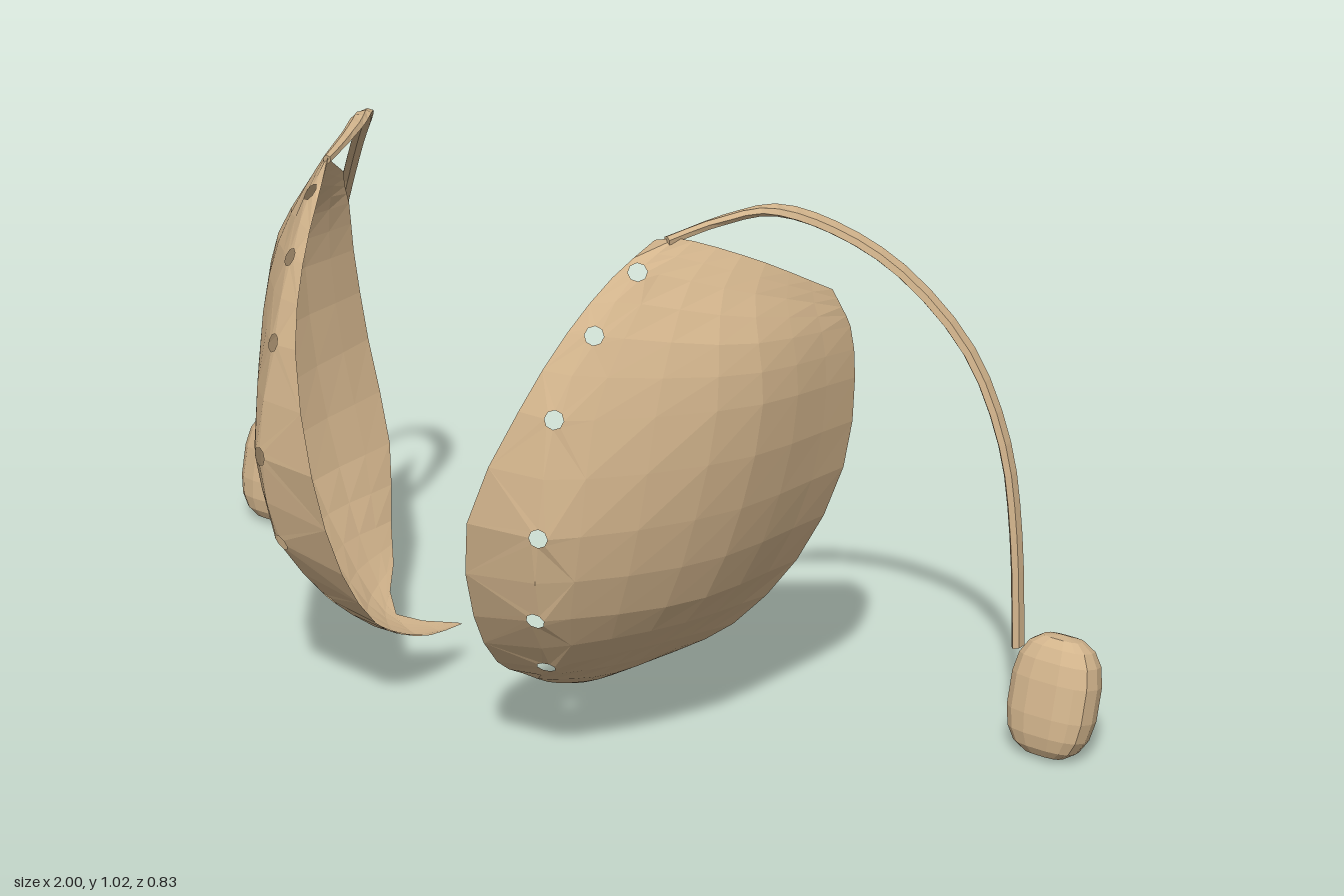
import * as THREE from 'three';

const tan = new THREE.MeshStandardMaterial({ color: 0xd2b48c, flatShading: true, side: THREE.DoubleSide });
const V = (a) => new THREE.Vector3(...a);

// Cross-sections of the cupped shell from bottom tip to top edge:
// inner front edge, line of holes, outer bulge, back edge
const sections = [
  [[.165, .09, 0], [.168, .09, 0], [.171, .09, 0], [.174, .09, 0]],
  [[.145, .115, .12], [.17, .11, .125], [.21, .118, .12], [.238, .13, .11]],
  [[.14, .15, .21], [.19, .16, .23], [.275, .158, .14], [.33, .17, 0]],
  [[.14, .2, .285], [.25, .22, .285], [.36, .235, .13], [.4, .215, -.08]],
  [[.15, .32, .365], [.29, .35, .37], [.44, .34, .13], [.475, .33, -.17]],
  [[.175, .52, .415], [.315, .52, .395], [.5, .52, .12], [.55, .52, -.2]],
  [[.25, .73, .365], [.315, .725, .35], [.53, .72, .1], [.575, .7, -.19]],
  [[.295, .86, .287], [.34, .86, .27], [.515, .83, .09], [.572, .8, -.175]],
  [[.33, .945, .205], [.365, .955, .18], [.485, .91, .05], [.565, .84, -.155]],
  [[.365, 1, .13], [.39, 1, .1], [.48, .955, 0], [.555, .875, -.14]],
];
const columns = [0, 1 / 3, .42, .52, .62, .72, .82, .91, 1];
const holeRows = [6, 8, 10, 12, 14, 16]; // grid rows whose column 1 is a hole
const holeRadius = .017;

function geometryFrom(points, index) {
  const g = new THREE.BufferGeometry().setFromPoints(points);
  g.setIndex(index);
  g.computeVertexNormals();
  return g;
}

function shellGeometry() {
  const rails = [0, 1, 2, 3].map((k) => new THREE.CatmullRomCurve3(sections.map((s) => V(s[k]))));
  const rows = (sections.length - 1) * 2, n = columns.length;
  const points = [], index = [];
  for (let i = 0; i <= rows; i++) {
    const line = new THREE.CatmullRomCurve3(rails.map((r) => r.getPoint(i / rows)));
    columns.forEach((t) => points.push(line.getPoint(t)));
  }
  const id = (i, j) => i * n + j;
  for (let i = 0; i < rows; i++) {
    for (let j = 0; j < n - 1; j++) {
      const besideHole = j < 2 && (holeRows.includes(i) || holeRows.includes(i + 1));
      if (besideHole) continue;
      const [a, b, c, d] = [id(i, j), id(i, j + 1), id(i + 1, j + 1), id(i + 1, j)];
      index.push(a, b, c, a, c, d);
    }
  }
  // Surround each hole with a band from its eight neighbours to a small circle
  const around = [[0, 1], [1, 1], [1, 0], [1, -1], [0, -1], [-1, -1], [-1, 0], [-1, 1]];
  for (const i of holeRows) {
    const centre = points[id(i, 1)];
    const across = points[id(i, 2)].clone().sub(points[id(i, 0)]).normalize();
    const up = points[id(i + 1, 1)].clone().sub(points[id(i - 1, 1)]);
    up.addScaledVector(across, -up.dot(across)).normalize();
    const first = points.length;
    for (let k = 0; k < 8; k++) {
      const angle = k * Math.PI / 4;
      points.push(centre.clone()
        .addScaledVector(across, holeRadius * Math.cos(angle))
        .addScaledVector(up, holeRadius * Math.sin(angle)));
    }
    for (let k = 0; k < 8; k++) {
      const m = (k + 1) % 8;
      const outerA = id(i + around[k][0], 1 + around[k][1]);
      const outerB = id(i + around[m][0], 1 + around[m][1]);
      index.push(first + k, outerA, outerB, first + k, outerB, first + m);
    }
  }
  return geometryFrom(points, index);
}

// Flattened band swept along the arching path
function armGeometry() {
  const path = new THREE.CatmullRomCurve3([
    [.38, .997, .115], [.42, 1.013, 0], [.465, 1.016, -.09], [.53, .975, -.175], [.62, .89, -.26],
    [.72, .74, -.335], [.785, .57, -.362], [.815, .4, -.365], [.835, .19, -.357],
  ].map(V));
  const steps = 24, sides = 6, points = [], index = [];
  for (let i = 0; i <= steps; i++) {
    const t = i / steps, p = path.getPoint(t), along = path.getTangent(t);
    const wide = new THREE.Vector3(0, 0, 1).addScaledVector(along, -along.z).normalize();
    const thin = along.clone().cross(wide);
    const w = Math.min(.019, .008 + t * .04);
    for (let k = 0; k < sides; k++) {
      const angle = k * 2 * Math.PI / sides;
      points.push(p.clone().addScaledVector(wide, w * Math.cos(angle)).addScaledVector(thin, .009 * Math.sin(angle)));
    }
  }
  for (let i = 0; i < steps; i++) {
    for (let k = 0; k < sides; k++) {
      const m = (k + 1) % sides, a = i * sides, b = a + sides;
      index.push(a + k, b + m, b + k, a + k, a + m, b + m);
    }
  }
  for (let k = 1; k < sides - 1; k++) {
    const e = steps * sides;
    index.push(0, k + 1, k, e, e + k, e + k + 1);
  }
  return geometryFrom(points, index);
}

// Sphere squared off into a rounded block, leaning back
function knobGeometry() {
  const g = new THREE.SphereGeometry(1, 14, 9);
  const p = g.attributes.position;
  const square = (c) => Math.sign(c) * Math.pow(Math.abs(c), .72);
  for (let i = 0; i < p.count; i++) {
    p.setXYZ(i, .084 * square(p.getX(i)), .114 * square(p.getY(i)), .053 * square(p.getZ(i)));
  }
  g.rotateX(-.22);
  g.translate(.916, .115, -.354);
  g.computeVertexNormals();
  return g;
}

export function createModel() {
  const model = new THREE.Group();
  const parts = { shell: shellGeometry(), arm: armGeometry(), knob: knobGeometry() };
  for (const [name, side] of [['left', 1], ['right', -1]]) {
    const half = new THREE.Group();
    half.name = name + 'Half';
    for (const part in parts) {
      const mesh = new THREE.Mesh(parts[part], tan);
      mesh.name = part;
      half.add(mesh);
    }
    half.scale.x = side;
    model.add(half);
  }
  tan.name = 'tan';
  return model;
}
